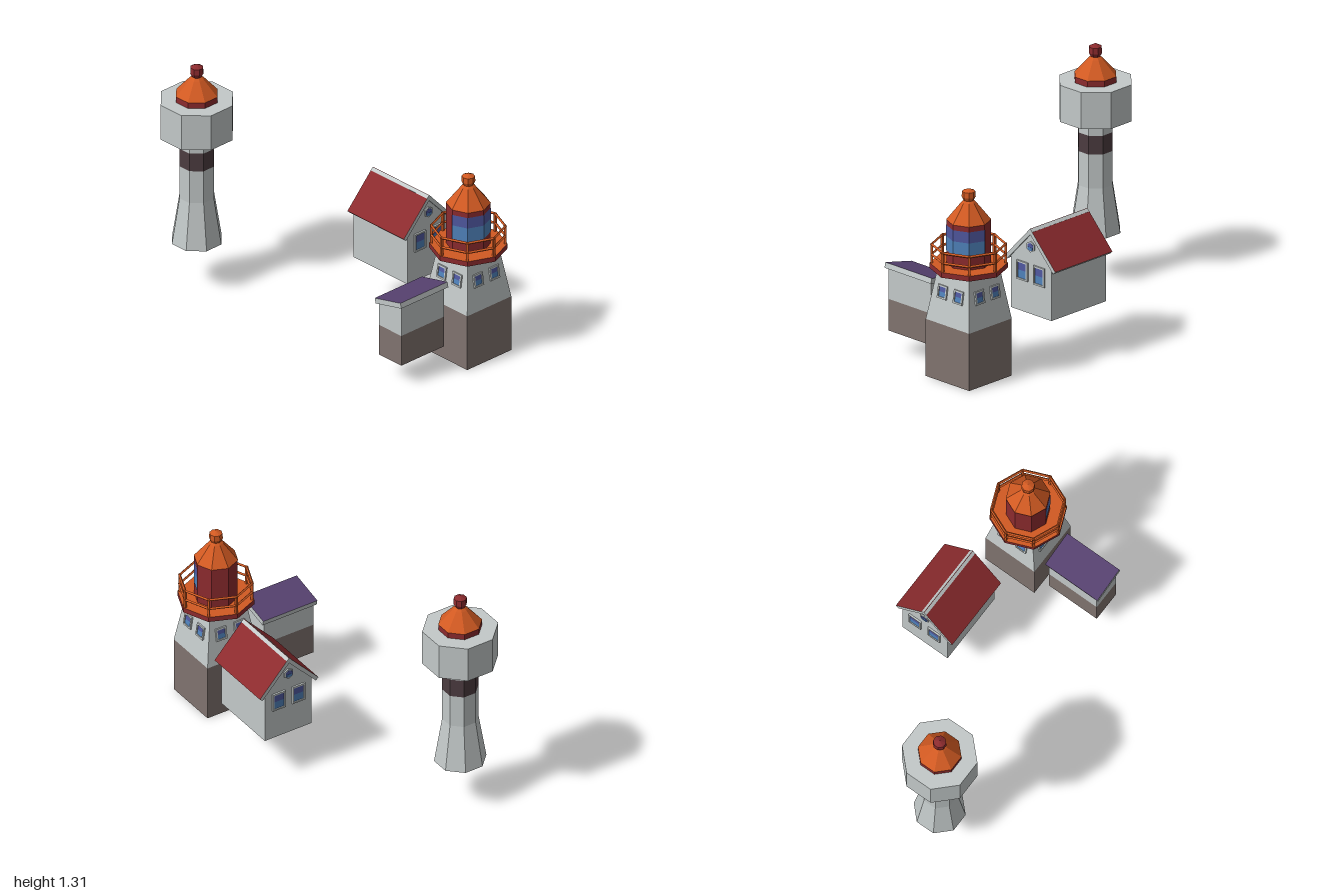
import * as THREE from 'three';

const mat = (name, color, extra = {}) => {
  const m = new THREE.MeshStandardMaterial({ color, ...extra });
  m.name = name;
  return m;
};

export function createModel() {
  const white = mat('whitewash', 0xc3c9c9);
  const brown = mat('stone brown', 0x80736f);
  const red = mat('roof red', 0x8c2b2e);
  const orange = mat('orange', 0xd25a22);
  const purple = mat('slate purple', 0x56416f);
  const blue = mat('glass blue', 0x4f82bb);
  const indigo = mat('glass indigo', 0x5058a0);
  const band = mat('dark band', 0x4c3c40);
  const TURN = -0.4;

  // Faceted mesh helper
  const add = (parent, name, geo, material, x = 0, y = 0, z = 0) => {
    const g = geo.index ? geo.toNonIndexed() : geo;
    g.computeVertexNormals();
    const mesh = new THREE.Mesh(g, material);
    mesh.name = name;
    mesh.position.set(x, y, z);
    parent.add(mesh);
    return mesh;
  };
  const group = (parent, name, x = 0, y = 0, z = 0, ry = 0) => {
    const g = new THREE.Group();
    g.name = name;
    g.position.set(x, y, z);
    g.rotation.y = ry;
    parent.add(g);
    return g;
  };
  const box = (w, h, d) => new THREE.BoxGeometry(w, h, d);
  // Eight-sided solid from [radius, height] pairs, bottom to top
  const turned = (parent, name, pts, material) =>
    add(parent, name, new THREE.LatheGeometry(pts.map(p => new THREE.Vector2(...p)), 8), material);
  // Square frustum between two heights
  const square = (parent, name, bottom, top, y0, y1, material) => {
    const g = new THREE.CylinderGeometry(top * Math.SQRT2, bottom * Math.SQRT2, y1 - y0, 4);
    g.rotateY(Math.PI / 4);
    add(parent, name, g, material, 0, (y0 + y1) / 2, 0);
  };

  // Framed window facing +z, two-tone glass
  const windowUnit = (parent, w, h, x, y, z, tilt = 0) => {
    const g = group(parent, 'window', x, y, z);
    g.rotation.x = tilt;
    const t = 0.009;
    for (const s of [-1, 1]) {
      add(g, 'windowJamb', box(t, h, 0.018), white, s * (w - t) / 2);
      add(g, 'windowRail', box(w, t, 0.018), white, 0, s * (h - t) / 2);
    }
    add(g, 'upperGlass', box(w - 2 * t, h / 2 - t, 0.008), indigo, 0, h / 4 - t / 2);
    add(g, 'lowerGlass', box(w - 2 * t, h / 2 - t, 0.008), blue, 0, -h / 4 + t / 2);
  };

  const model = new THREE.Group();
  model.name = 'lighthouseStation';

  // Round-top water tower
  const tower = group(model, 'tower', -0.8, 0, -0.08);
  turned(tower, 'towerShaft', [[0, 0.265], [0.14, 0.265], [0.097, 0.53], [0.097, 0.72]], white);
  turned(tower, 'towerBand', [[0.097, 0.72], [0.097, 0.825]], band);
  turned(tower, 'towerNeck', [[0.097, 0.825], [0.097, 0.9]], white);
  turned(tower, 'towerHead', [[0, 0.9], [0.203, 0.9], [0.203, 1.105], [0, 1.105]], white);
  turned(tower, 'towerEave', [[0.117, 1.105], [0.117, 1.138]], red);
  turned(tower, 'towerRoof', [[0.117, 1.138], [0.04, 1.225], [0.02, 1.243], [0, 1.243]], orange);
  turned(tower, 'towerFinial', [[0, 1.235], [0.025, 1.238], [0.037, 1.26], [0.035, 1.293], [0, 1.311]], red);

  // Lighthouse body
  const light = group(model, 'lighthouse', 0.788, 0, 0.008, TURN);
  square(light, 'lighthouseBase', 0.159, 0.159, 0, 0.32, brown);
  square(light, 'lighthouseWalls', 0.159, 0.114, 0.32, 0.61, white);
  for (let i = 0; i < 4; i++) {
    const face = group(light, 'windowPair', 0, 0, 0, i * Math.PI / 2);
    for (const s of [-1, 1]) windowUnit(face, 0.066, 0.073, s * 0.058, 0.49, 0.133, -0.154);
  }

  // Gallery deck and railing
  turned(light, 'deck', [[0, 0.605], [0.205, 0.605], [0.205, 0.634]], red);
  turned(light, 'deckFloor', [[0.205, 0.634], [0, 0.634]], orange);
  for (let i = 0; i < 8; i++) {
    const a = i * Math.PI / 4;
    const post = add(light, 'railPost', box(0.013, 0.11, 0.013), orange,
      0.193 * Math.sin(a), 0.687, 0.193 * Math.cos(a));
    post.rotation.y = a;
  }
  for (const y of [0.682, 0.738]) {
    const ring = new THREE.TorusGeometry(0.194, 0.008, 4, 8);
    ring.rotateX(Math.PI / 2);
    add(light, 'handRail', ring, orange, 0, y, 0);
  }

  // Lantern room, glazed on its outward half
  turned(light, 'lanternRoom', [[0.116, 0.63], [0.116, 0.878]], red);
  for (const [y0, y1, m] of [[0.705, 0.785, blue], [0.785, 0.847, indigo]]) {
    const glass = new THREE.CylinderGeometry(0.118, 0.118, y1 - y0, 4, 1, true, 0, Math.PI);
    add(light, 'lanternGlass', glass, m, 0, (y0 + y1) / 2, 0);
  }
  turned(light, 'lanternRoof', [[0, 0.874], [0.118, 0.876], [0.038, 0.975], [0.022, 0.99], [0, 0.99]], orange);
  turned(light, 'lanternFinial', [[0, 0.98], [0.026, 0.983], [0.037, 1.005], [0.035, 1.035], [0, 1.05]], orange);

  // Gabled house
  const house = group(model, 'house', 0.272, 0, -0.295, TURN);
  const gable = new THREE.Shape([[-0.147, 0.26], [0.147, 0.26], [0.147, 0.56], [0, 0.715], [-0.147, 0.56]]
    .map(p => new THREE.Vector2(...p)));
  const walls = new THREE.ExtrudeGeometry(gable, { depth: 0.41, bevelEnabled: false });
  walls.translate(0, 0, -0.205);
  walls.rotateY(Math.PI / 2);
  add(house, 'houseWalls', walls, white);
  const slope = 0.815, thick = 0.022;
  for (const s of [-1, 1]) {
    const slab = add(house, 'houseRoof', box(0.428, thick, 0.268), [white, white, red, white, white, white], 0,
      0.6425 - Math.cos(slope) * thick / 2, s * (0.092 - Math.sin(slope) * thick / 2));
    slab.rotation.x = s * slope;
    // Gable end windows
    const end = group(house, 'gableEnd', 0, 0, 0, s * Math.PI / 2);
    for (const k of [-1, 1]) windowUnit(end, 0.08, 0.105, k * 0.062, 0.488, 0.206);
    const disc = (name, r, d, m) => {
      const g = new THREE.CylinderGeometry(r, r, d, 6);
      g.rotateX(Math.PI / 2);
      add(end, name, g, m, 0, 0.638, 0.206);
    };
    disc('atticFrame', 0.031, 0.012, white);
    disc('atticGlass', 0.023, 0.016, indigo);
    add(end, 'atticLowerGlass', box(0.032, 0.016, 0.004), blue, 0, 0.628, 0.2135);
  }

  // Lean-to annex
  const annex = group(model, 'annex', 0.611, 0, 0.345, TURN);
  add(annex, 'annexBase', box(0.17, 0.177, 0.31), brown, 0, 0.2135, 0);
  const upper = box(0.17, 0.17, 0.31);
  const p = upper.attributes.position;
  for (let i = 0; i < p.count; i++) {
    if (p.getY(i) > 0) p.setY(i, 0.085 + p.getX(i) * 0.235);
  }
  add(annex, 'annexWalls', upper, white, 0, 0.387, 0);
  const roof = add(annex, 'annexRoof', box(0.2, 0.03, 0.34),
    [white, white, purple, white, white, white], 0, 0.469, 0);
  roof.rotation.z = 0.23;

  return model;
}
